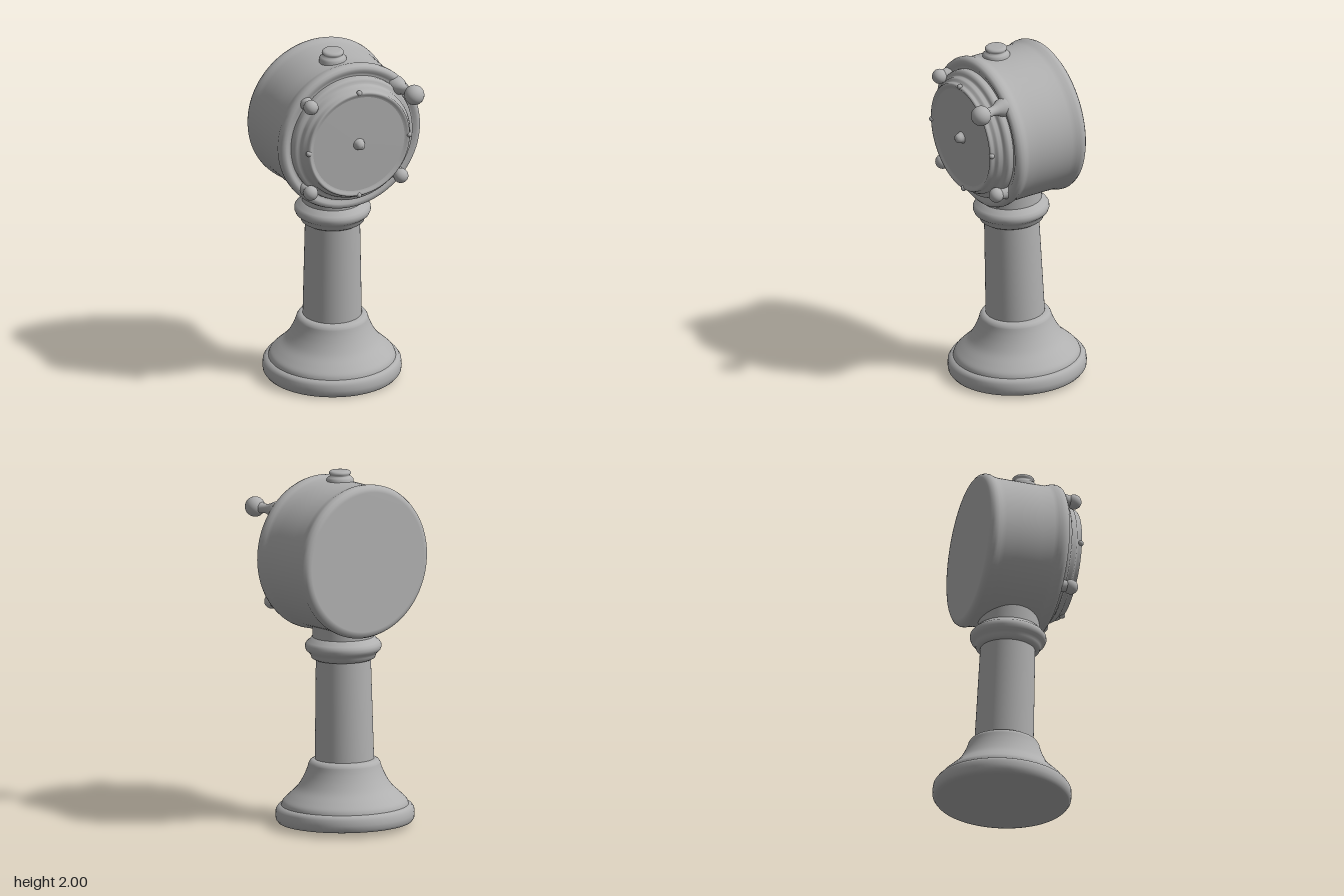
import * as THREE from 'three';

const TILT = 0.036; // slight forward lean of the whole post
const YAW = 0.36;   // head turned on its column

export function createModel() {
  const stone = new THREE.MeshStandardMaterial({ color: 0xb0b0b0 });
  stone.name = 'grey';

  const add = (parent, name, geometry, x = 0, y = 0, z = 0) => {
    const mesh = new THREE.Mesh(geometry, stone);
    mesh.name = name;
    mesh.position.set(x, y, z);
    parent.add(mesh);
    return mesh;
  };
  // profile entries are [radius, height], bottom to top
  const lathe = (profile, segments = 72) =>
    new THREE.LatheGeometry(profile.map(([r, h]) => new THREE.Vector2(r, h)), segments);
  const ball = (r) => new THREE.SphereGeometry(r, 24, 16);

  const model = new THREE.Group();
  model.name = 'pedestalInstrument';
  const body = new THREE.Group();
  body.name = 'body';
  body.position.set(0, 0.014, -0.05);
  body.rotation.x = TILT;
  model.add(body);

  // Foot plate with rounded edge
  add(body, 'footPlate', lathe([
    [0, 0], [0.355, 0], [0.375, 0.004], [0.387, 0.02], [0.39, 0.045], [0.387, 0.075],
    [0.375, 0.093], [0.355, 0.1], [0.34, 0.102], [0, 0.102],
  ]));

  // Concave flare rising to the column
  const flare = new THREE.SplineCurve([
    [0.358, 0.095], [0.348, 0.122], [0.315, 0.155], [0.268, 0.2], [0.235, 0.25], [0.212, 0.3], [0.2, 0.338],
  ].map(([r, h]) => new THREE.Vector2(r, h))).getPoints(24).map((p) => [p.x, p.y]);
  add(body, 'flaredBase', lathe([...flare, [0.192, 0.351], [0.175, 0.36], [0.14, 0.362]]));

  // Tapered column and the neck that enters the drum
  add(body, 'column', new THREE.CylinderGeometry(0.153, 0.166, 0.64, 72, 1, true), 0, 0.66, 0);
  add(body, 'neck', new THREE.CylinderGeometry(0.172, 0.172, 0.24, 72, 1, true), 0, 1.13, 0);

  // Moulded collar
  add(body, 'collar', lathe([
    [0.14, 0.925], [0.165, 0.928], [0.178, 0.936], [0.183, 0.952], [0.192, 0.966], [0.207, 0.978],
    [0.214, 0.995], [0.213, 1.013], [0.203, 1.028], [0.188, 1.038], [0.178, 1.052], [0.165, 1.058],
  ]));

  // Head: the drum axis runs along local z
  const head = new THREE.Group();
  head.name = 'head';
  head.position.set(0.003, 1.512, -0.025);
  head.rotation.y = YAW;
  body.add(head);

  const addTurned = (name, profile) => {
    add(head, name, lathe(profile, 96)).rotation.x = Math.PI / 2;
  };
  addTurned('drum', [
    [0, -0.228], [0.395, -0.228], [0.412, -0.225], [0.427, -0.214], [0.435, -0.196], [0.434, -0.178],
    [0.427, -0.158], [0.422, -0.13], [0.421, -0.05], [0.421, 0.08], [0.422, 0.15], [0.428, 0.172],
    [0.435, 0.19], [0.436, 0.21], [0.43, 0.228], [0.417, 0.238], [0.402, 0.238], [0.388, 0.23],
    [0.376, 0.226], [0.3, 0.226],
  ]);
  // Stepped bezel in front of the drum
  addTurned('bezel', [
    [0.37, 0.215], [0.371, 0.25], [0.366, 0.264], [0.354, 0.271], [0.343, 0.273], [0.338, 0.28],
    [0.336, 0.298], [0.33, 0.308], [0.32, 0.313], [0.316, 0.322], [0.315, 0.335], [0.311, 0.342],
    [0.303, 0.343], [0.296, 0.338], [0.285, 0.334], [0.28, 0.333],
  ]);
  addTurned('dialFace', [[0.29, 0.333], [0.285, 0.3335], [0, 0.335]]);
  addTurned('centrePin', [
    [0.036, 0.33], [0.033, 0.338], [0.029, 0.345], [0.028, 0.356], [0.022, 0.369], [0.012, 0.376], [0, 0.378],
  ]);

  // Small studs at the quarters of the bezel
  for (let i = 0; i < 4; i++) {
    const a = i * Math.PI / 2;
    add(head, 'bezelStud', ball(0.016), Math.cos(a) * 0.312, Math.sin(a) * 0.312, 0.335);
  }

  // Round bolts at three corners, a long handle at the fourth
  for (const sx of [-1, 1]) for (const sy of [-1, 1]) {
    const x = sx * 0.28, y = sy * 0.262;
    if (sx > 0 && sy > 0) continue;
    add(head, 'boltStem', new THREE.CylinderGeometry(0.027, 0.042, 0.09, 24), x, y, 0.255).rotation.x = Math.PI / 2;
    add(head, 'boltHead', ball(0.042), x, y, 0.295);
  }
  const handle = add(head, 'handleStem', lathe([
    [0.055, 0], [0.05, 0.025], [0.034, 0.055], [0.026, 0.09], [0.029, 0.12], [0.042, 0.15], [0.03, 0.18],
  ], 24), 0.282, 0.262, 0.225);
  handle.quaternion.setFromUnitVectors(
    new THREE.Vector3(0, 1, 0), new THREE.Vector3(0.03, 0.004, 0.17).normalize());
  add(head, 'handleBall', ball(0.057), 0.313, 0.266, 0.395);

  // Cap on top of the drum
  add(head, 'topCap', lathe([
    [0.078, 0.4], [0.076, 0.43], [0.066, 0.44], [0.056, 0.447], [0.056, 0.453], [0.062, 0.46],
    [0.061, 0.468], [0.054, 0.475], [0.04, 0.477], [0, 0.478],
  ], 40), -0.035, 0, 0.067);

  return model;
}
